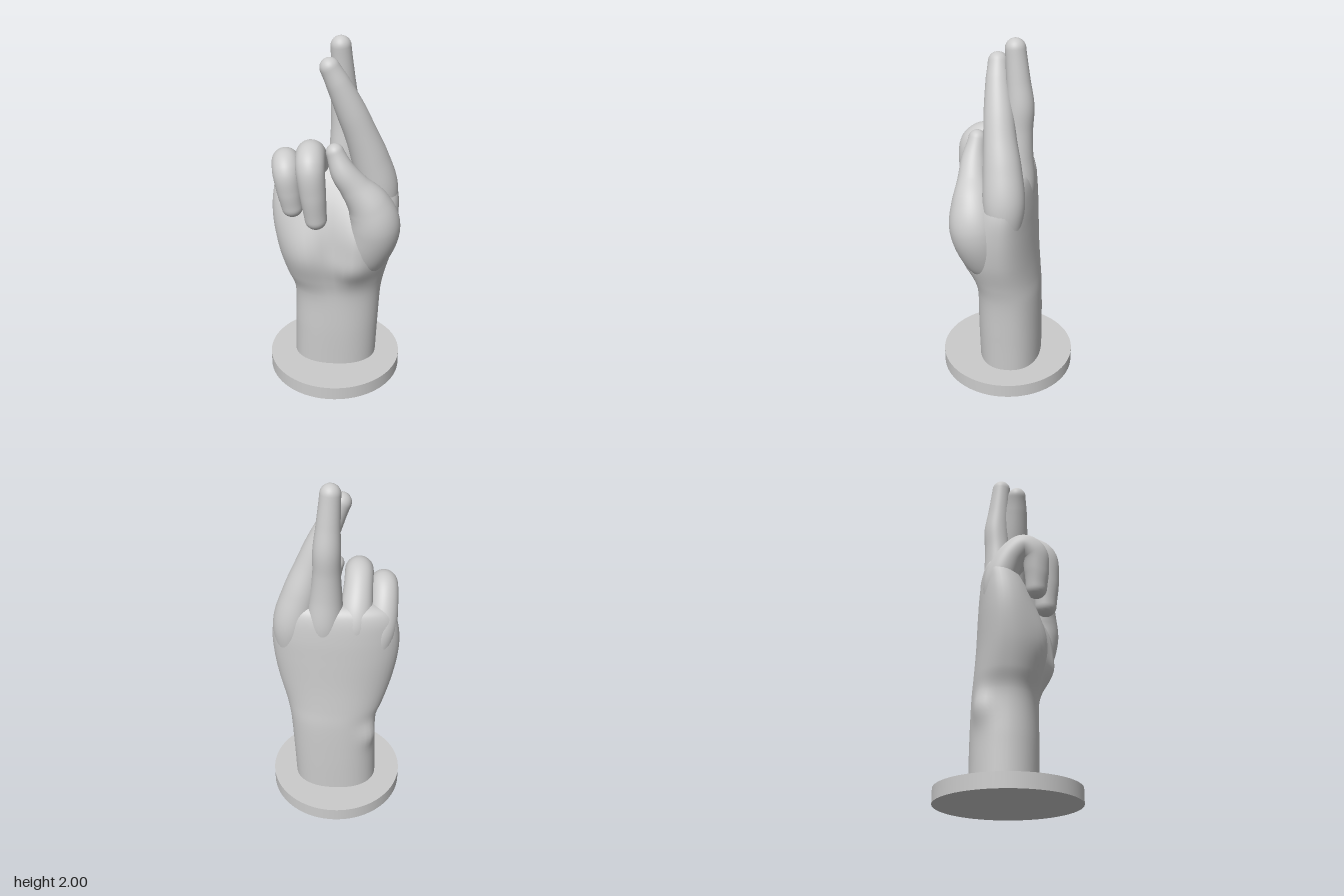
import * as THREE from 'three';

const SIDES = 48;
const skinMaterial = new THREE.MeshStandardMaterial({ color: 0xcccccc });
const V = (x, y, z) => new THREE.Vector3(x, y, z);
const spline = (points) => new THREE.CatmullRomCurve3(points, false, 'centripetal');

// Smooth skin stretched over a list of closed rings
function skin(name, rings) {
  const positions = [], index = [];
  rings.forEach((ring) => ring.forEach((p) => positions.push(p.x, p.y, p.z)));
  for (let i = 0; i < rings.length - 1; i++) {
    for (let j = 0; j < SIDES; j++) {
      const k = (j + 1) % SIDES;
      const a = i * SIDES + j, b = i * SIDES + k, c = a + SIDES, d = b + SIDES;
      index.push(a, b, c, b, d, c);
    }
  }
  const geometry = new THREE.BufferGeometry();
  geometry.setAttribute('position', new THREE.Float32BufferAttribute(positions, 3));
  geometry.setIndex(index);
  geometry.computeVertexNormals();
  const mesh = new THREE.Mesh(geometry, skinMaterial);
  mesh.name = name;
  return mesh;
}

// Tapered finger along joints [x, y, z, radius], with a rounded tip
function finger(name, joints) {
  const path = spline(joints.map(([x, y, z]) => V(x, y, z)));
  const radii = new THREE.SplineCurve(joints.map((j, i) => new THREE.Vector2(i, j[3])));
  const rings = [];
  const addRing = (t, radius, push) => {
    const dir = path.getTangent(t);
    const centre = path.getPoint(t).addScaledVector(dir, push);
    const side = V(1, 0, 0).addScaledVector(dir, -dir.x).normalize();
    const up = dir.clone().cross(side);
    const ring = [];
    for (let j = 0; j < SIDES; j++) {
      const a = (j / SIDES) * Math.PI * 2;
      ring.push(centre.clone()
        .addScaledVector(side, radius * Math.cos(a))
        .addScaledVector(up, radius * Math.sin(a)));
    }
    rings.push(ring);
  };
  const steps = 48;
  for (let i = 0; i <= steps; i++) addRing(i / steps, radii.getPoint(i / steps).y, 0);
  const tip = joints[joints.length - 1][3];
  for (let i = 1; i <= 8; i++) {
    const a = (i / 8) * Math.PI / 2;
    addRing(1, Math.max(tip * Math.cos(a), 0.0005), tip * Math.sin(a));
  }
  return skin(name, rings);
}

// Forearm and palm: rows of [y, xMin, xMax, zMin, zMax]
function palm() {
  const rows = [
    [0.06, -0.24, 0.245, -0.203, 0.16],
    [0.3, -0.235, 0.255, -0.203, 0.165],
    [0.55, -0.235, 0.27, -0.197, 0.165],
    [0.66, -0.275, 0.29, -0.187, 0.175],
    [0.82, -0.32, 0.33, -0.175, 0.185],
    [1.0, -0.348, 0.353, -0.167, 0.165],
    [1.13, -0.345, 0.352, -0.16, 0.13],
    [1.23, -0.322, 0.322, -0.148, 0.08],
    [1.28, -0.28, 0.28, -0.132, 0.04],
    [1.31, -0.2, 0.21, -0.105, 0.01],
    [1.32, -0.001, 0.001, -0.046, -0.044],
  ];
  const low = spline(rows.map((r) => V(r[1], r[0], r[3])));
  const high = spline(rows.map((r) => V(r[2], r[0], r[4])));
  const bump = (x, y, cx, cy, sx, sy, height) =>
    height * Math.exp(-(((x - cx) / sx) ** 2) - ((y - cy) / sy) ** 2);
  const squash = (v, power) => Math.sign(v) * Math.abs(v) ** power;
  const rings = [];
  const steps = 100;
  for (let i = 0; i <= steps; i++) {
    const p = low.getPoint(i / steps), q = high.getPoint(i / steps);
    const y = (p.y + q.y) / 2;
    // the hand is rounder on its back than on its palm
    const handness = THREE.MathUtils.smoothstep(y, 0.5, 0.8);
    const ring = [];
    for (let j = 0; j < SIDES; j++) {
      const a = (j / SIDES) * Math.PI * 2;
      const front = Math.max(0, -Math.sin(a));
      const power = 0.88 + handness * (front > 0 ? -0.06 : 0.08);
      let x = (p.x + q.x) / 2 + ((q.x - p.x) / 2) * squash(Math.cos(a), power);
      let z = (p.z + q.z) / 2 - ((q.z - p.z) / 2) * squash(Math.sin(a), power);
      // thumb pad, heel pad and the crease between them
      z += front * (bump(x, y, 0.17, 0.94, 0.16, 0.2, 0.085)
        + bump(x, y, 0.12, 0.75, 0.13, 0.1, 0.04)
        + bump(x, y, -0.18, 0.83, 0.14, 0.19, 0.05)
        - bump(x, y, -0.01, 0.86, 0.045, 0.2, 0.03));
      // wrist bone at the back corner
      const bone = bump(a, y, 2.55, 0.46, 0.3, 0.085, 0.03);
      x += bone * Math.cos(a);
      z -= bone * Math.sin(a);
      ring.push(V(x, y, z));
    }
    rings.push(ring);
  }
  return skin('forearmAndPalm', rings);
}

export function createModel() {
  const model = new THREE.Group();

  // Round base
  const base = new THREE.Mesh(new THREE.CylinderGeometry(0.388, 0.388, 0.08, 96), skinMaterial);
  base.position.y = 0.04;
  base.name = 'base';
  model.add(base);

  model.add(palm());

  // Crossed index and middle fingers
  model.add(finger('middleFinger', [
    [0.06, 0.98, -0.03, 0.09], [0.06, 1.2, -0.055, 0.102], [0.052, 1.38, -0.058, 0.086],
    [0.048, 1.52, -0.066, 0.074], [0.046, 1.65, -0.072, 0.073], [0.039, 1.78, -0.06, 0.063],
    [0.028, 1.946, -0.043, 0.054],
  ]));
  model.add(finger('indexFinger', [
    [0.24, 0.96, -0.01, 0.09], [0.236, 1.17, -0.015, 0.112], [0.19, 1.35, 0, 0.102],
    [0.138, 1.5, 0.02, 0.087], [0.085, 1.63, 0.034, 0.079], [0.018, 1.78, 0.05, 0.063],
    [-0.022, 1.859, 0.055, 0.053],
  ]));

  // Curled ring and little fingers
  model.add(finger('ringFinger', [
    [-0.1, 1.06, -0.06, 0.08], [-0.105, 1.23, -0.05, 0.092], [-0.115, 1.36, 0.04, 0.08],
    [-0.118, 1.412, 0.135, 0.078], [-0.114, 1.37, 0.205, 0.077], [-0.1, 1.23, 0.222, 0.07],
    [-0.086, 1.08, 0.215, 0.06],
  ]));
  model.add(finger('littleFinger', [
    [-0.22, 1.0, -0.05, 0.07], [-0.245, 1.17, -0.03, 0.084], [-0.256, 1.3, 0.03, 0.077],
    [-0.255, 1.358, 0.1, 0.074], [-0.245, 1.32, 0.157, 0.074], [-0.231, 1.22, 0.17, 0.067],
    [-0.217, 1.125, 0.167, 0.058],
  ]));

  // Thumb folded across the palm
  model.add(finger('thumb', [
    [0.13, 0.7, 0.05, 0.1], [0.185, 0.85, 0.1, 0.135], [0.226, 1.02, 0.143, 0.14],
    [0.195, 1.14, 0.158, 0.118], [0.12, 1.25, 0.172, 0.083], [0.057, 1.34, 0.177, 0.068],
    [0.013, 1.444, 0.165, 0.048],
  ]));

  return model;
}
